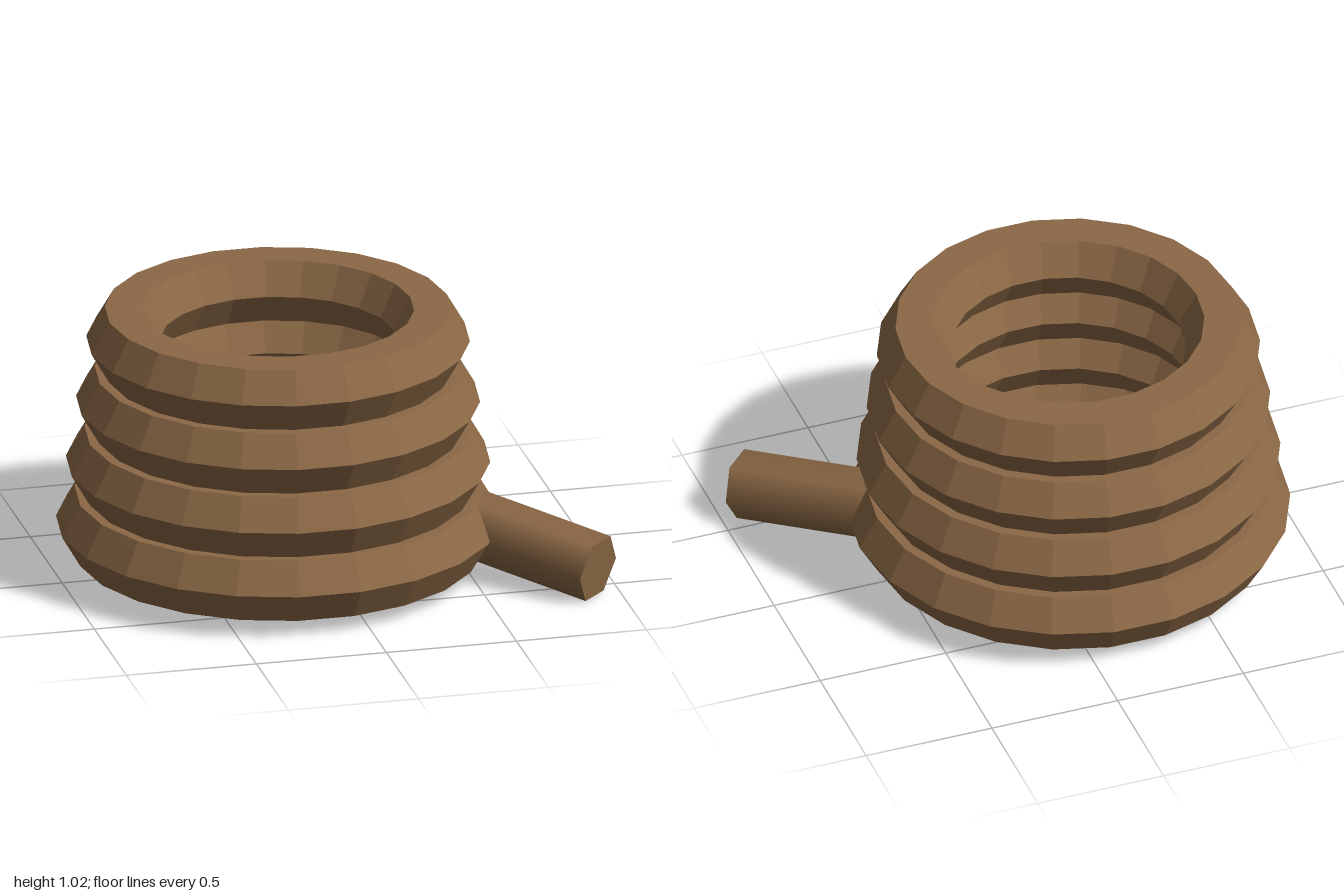
import * as THREE from 'three';

const CENTER_X = -0.17;
const TUBE = 0.139; // hexagonal coil section, 0.24 tall

export function createModel() {
  const group = new THREE.Group();
  group.name = 'coiledRope';

  const rope = new THREE.MeshStandardMaterial({ color: 0x8b6845 });
  rope.name = 'ropeBrown';

  // Stack of hexagonal rings, narrowing upwards
  [0.691, 0.654, 0.616, 0.578].forEach((radius, i) => {
    // unshared corners give each facet its own flat normal
    const geometry = new THREE.TorusGeometry(radius, TUBE, 6, 22).toNonIndexed();
    geometry.computeVertexNormals();
    const coil = new THREE.Mesh(geometry, rope);
    coil.name = `coil${i + 1}`;
    coil.rotation.x = -Math.PI / 2;
    coil.position.set(CENTER_X, 0.181 + i * 0.24, 0);
    group.add(coil);
  });

  // Loose rope end leaving the lowest coil, sloping down to the ground
  const start = new THREE.Vector3(0.45, 0.2, 0.16);
  const end = new THREE.Vector3(0.908, 0.112, 0.618);
  const along = end.clone().sub(start);
  const length = along.length();
  along.normalize();
  const side = new THREE.Vector3(1, 0, -1).normalize();
  const up = new THREE.Vector3().crossVectors(along, side);

  const looseEnd = new THREE.Mesh(new THREE.CylinderGeometry(0.13, 0.13, length, 6), rope);
  looseEnd.name = 'looseEnd';
  looseEnd.quaternion.setFromRotationMatrix(new THREE.Matrix4().makeBasis(up, along, side));
  looseEnd.position.copy(start).add(end).multiplyScalar(0.5);
  group.add(looseEnd);

  return group;
}
